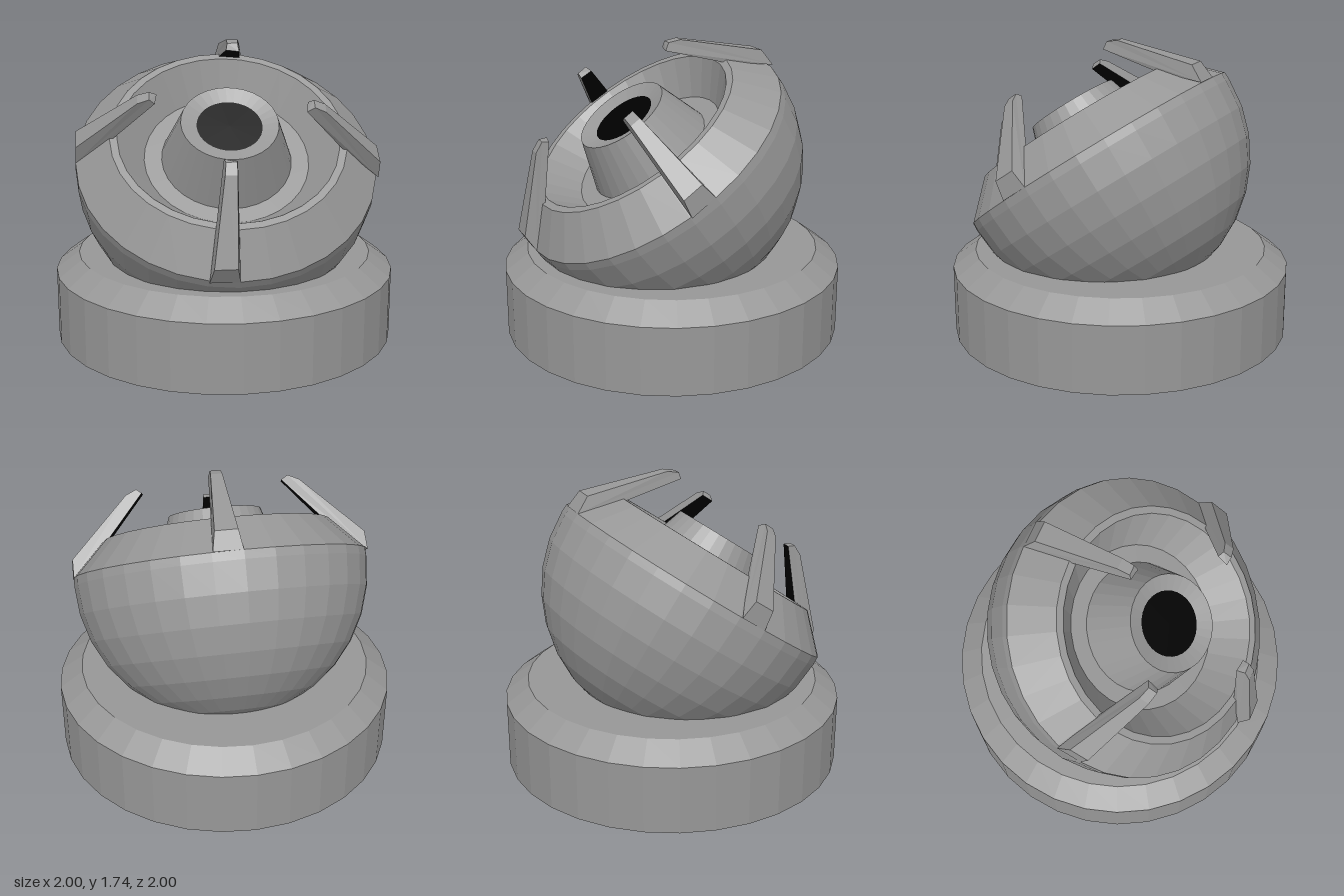
import * as THREE from 'three';

const grey = new THREE.MeshStandardMaterial({ color: 0x979797, flatShading: true });
const black = new THREE.MeshStandardMaterial({ color: 0x000000, flatShading: true });

function lathe(name, points, material = grey) {
  const profile = points.map(([r, y]) => new THREE.Vector2(r, y));
  const mesh = new THREE.Mesh(new THREE.LatheGeometry(profile, 32), material);
  mesh.name = name;
  return mesh;
}

function triangles(corners, material, name) {
  const geometry = new THREE.BufferGeometry().setFromPoints(corners);
  geometry.computeVertexNormals();
  const mesh = new THREE.Mesh(geometry, material);
  mesh.name = name;
  return mesh;
}

// Tapered claw: side outline as [left radius, right radius, height, left edge, right edge]
const clawOutline = [
  [0.865, 0.865, 0.05, -0.165, 0],
  [0.862, 0.862, 0.16, -0.145, -0.018],
  [0.515, 0.515, 0.51, -0.08, -0.014],
  [0.45, 0.45, 0.54, -0.072, -0.012],
  [0.407, 0.42, 0.515, -0.078, -0.005],
  [0.635, 0.65, 0.25, -0.12, 0],
];

function claw() {
  const L = clawOutline.map(([r, , y, a]) => new THREE.Vector3(a, y, r));
  const R = clawOutline.map(([, r, y, , b]) => new THREE.Vector3(b, y, r));
  const shell = [], inner = [];
  const n = L.length;
  for (let i = 0; i < n; i++) {
    const j = (i + 1) % n;
    (i === 4 ? inner : shell).push(L[j], L[i], R[i], L[j], R[i], R[j]);
    if (i > 0 && i < n - 1) shell.push(L[0], L[i], L[j], R[0], R[j], R[i]);
  }
  const group = new THREE.Group();
  group.name = 'claw';
  group.add(triangles(shell, grey, 'clawShell'), triangles(inner, black, 'clawInnerFace'));
  return group;
}

export function createModel() {
  const model = new THREE.Group();
  model.name = 'tiltedBallEmitter';

  // Round base with a chamfered top
  model.add(lathe('base', [[0, 0], [1, 0], [1, 0.4], [0.865, 0.5], [0, 0.5]]));

  // Ball and everything on it lean toward the front
  const head = new THREE.Group();
  head.name = 'head';
  head.position.set(0, 1.03, 0.11);
  head.rotation.x = THREE.MathUtils.degToRad(35);
  model.add(head);

  // Half ball, bevelled rim, flat lip, sunken bowl
  const R = 0.867;
  const profile = [];
  for (let i = 0; i <= 8; i++) {
    const a = (i / 8) * Math.PI / 2;
    profile.push([R * Math.sin(a), -R * Math.cos(a)]);
  }
  profile.push([0.865, 0.05], [0.67, 0.25], [0.628, 0.25], [0.475, 0.06], [0.37, 0.06]);
  head.add(lathe('ball', profile));

  // Conical hub with a dark opening
  head.add(lathe('hub', [[0.378, 0.05], [0.275, 0.36], [0.185, 0.332]]));
  head.add(lathe('hubOpening', [[0.186, 0.332], [0, 0.332]], black));

  // Four claws around the rim
  for (let k = 0; k < 4; k++) {
    const c = claw();
    c.rotation.y = k * Math.PI / 2;
    head.add(c);
  }
  return model;
}
